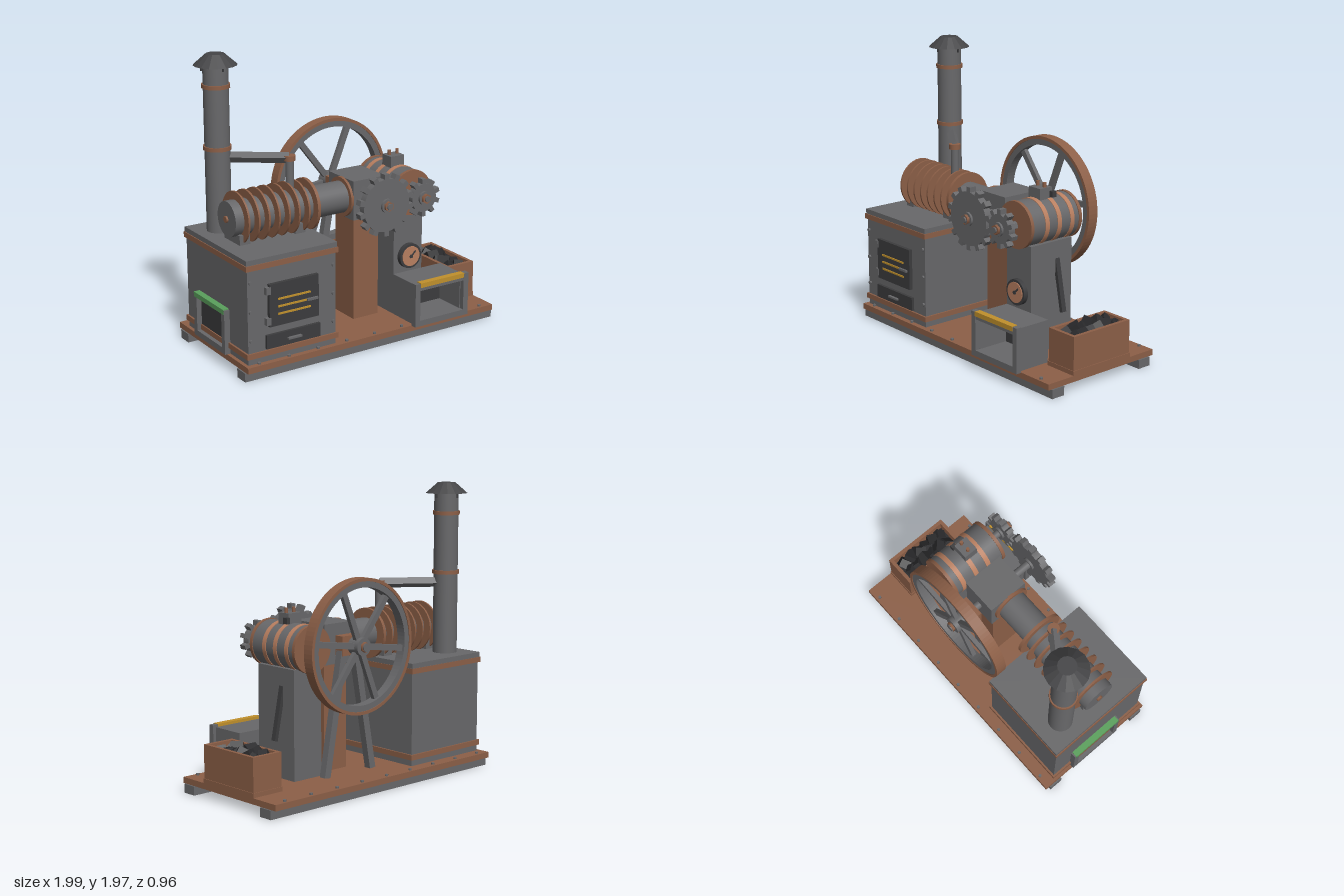
import * as THREE from 'three';

const mat = (name, color, flat = false) => {
  const m = new THREE.MeshStandardMaterial({ color, flatShading: flat });
  m.name = name;
  return m;
};

export function createModel() {
  const root = new THREE.Group();
  const iron = mat('iron grey', 0x68686a);
  const dark = mat('dark iron', 0x3c3c3e);
  const copper = mat('brown copper', 0x8c5f47);
  const bright = mat('bright copper', 0xb97f60);
  const gold = mat('gold', 0xc0902c);
  const green = mat('green', 0x5aa05c);
  const coalMat = mat('coal', 0x2b2b2d);

  const add = (name, geo, m, x = 0, y = 0, z = 0) => {
    const mesh = new THREE.Mesh(geo, m);
    mesh.name = name;
    mesh.position.set(x, y, z);
    root.add(mesh);
    return mesh;
  };
  // box given by its limits
  const box = (name, m, x0, x1, y0, y1, z0, z1) =>
    add(name, new THREE.BoxGeometry(x1 - x0, y1 - y0, z1 - z0), m, (x0 + x1) / 2, (y0 + y1) / 2, (z0 + z1) / 2);
  // cylinder along an axis
  const cyl = (name, m, axis, r, len, x, y, z, seg = 32, rTop = r) => {
    const g = new THREE.CylinderGeometry(rTop, r, len, seg);
    if (axis === 'x') g.rotateZ(-Math.PI / 2);
    if (axis === 'z') g.rotateX(Math.PI / 2);
    return add(name, g, m, x, y, z);
  };
  // square bar between two points
  const bar = (name, m, a, b, w, d) => {
    const p = new THREE.Vector3(...a), q = new THREE.Vector3(...b);
    const mesh = add(name, new THREE.BoxGeometry(w, p.distanceTo(q), d), m);
    mesh.position.copy(p).add(q).multiplyScalar(0.5);
    mesh.quaternion.setFromUnitVectors(new THREE.Vector3(0, 1, 0), q.sub(p).normalize());
    return mesh;
  };
  // flat ring along z
  const ring = (name, m, r0, r1, depth, x, y, z) => {
    const s = new THREE.Shape().absarc(0, 0, r1, 0, Math.PI * 2);
    s.holes.push(new THREE.Path().absarc(0, 0, r0, 0, Math.PI * 2, true));
    const g = new THREE.ExtrudeGeometry(s, { depth, bevelEnabled: false, curveSegments: 48 });
    return add(name, g.translate(0, 0, -depth / 2), m, x, y, z);
  };

  // Base
  box('basePlate', copper, -0.98, 0.98, 0.06, 0.1, -0.485, 0.433);
  for (const z of [-0.4, 0.36]) box('skid', iron, -0.99, 0.99, 0, 0.06, z - 0.05, z + 0.05);
  for (let i = 0; i < 9; i++)
    for (const z of [-0.458, 0.407]) cyl('baseRivet', iron, 'y', 0.011, 0.014, -0.884 + i * 0.221, 0.105, z, 8);

  // Firebox
  box('firebox', iron, -0.955, -0.3, 0.1, 0.77, -0.395, 0.395);
  box('fireboxTop', iron, -0.962, -0.292, 0.765, 0.8, -0.405, 0.402);
  for (const y of [0.16, 0.748]) box('fireboxBand', copper, -0.968, -0.288, y - 0.018, y + 0.018, -0.408, 0.408);
  for (const x of [-0.935, -0.32])
    for (const y of [0.26, 0.455, 0.65]) cyl('fireboxRivet', iron, 'z', 0.012, 0.016, x, y, 0.4, 8);
  box('fireDoor', dark, -0.81, -0.445, 0.335, 0.62, 0.39, 0.42);
  for (const y of [0.415, 0.465, 0.515]) box('doorSlot', gold, -0.75, -0.51, y - 0.006, y + 0.006, 0.42, 0.427);
  for (const y of [0.375, 0.58]) box('doorHinge', iron, -0.835, -0.8, y - 0.024, y + 0.024, 0.39, 0.425);
  box('doorHandle', iron, -0.54, -0.46, 0.46, 0.475, 0.425, 0.44);
  box('ashDrawer', dark, -0.83, -0.43, 0.188, 0.28, 0.39, 0.415);
  box('drawerHandle', iron, -0.68, -0.58, 0.226, 0.238, 0.415, 0.435);

  // Side hatch
  const hz0 = -0.245, hz1 = 0.165;
  for (const z of [hz0, hz1 - 0.04]) box('hatchPost', iron, -0.995, -0.95, 0.1, 0.4, z, z + 0.04);
  box('hatchSill', iron, -0.995, -0.95, 0.1, 0.14, hz0, hz1);
  box('hatchLintel', iron, -0.99, -0.95, 0.37, 0.4, hz0, hz1);
  box('hatchStrip', green, -0.998, -0.955, 0.373, 0.406, hz0 + 0.01, hz1 - 0.01);
  box('hatchOpening', dark, -0.96, -0.953, 0.14, 0.37, hz0 + 0.04, hz1 - 0.04);

  // Chimney
  cyl('chimney', iron, 'y', 0.083, 1.1, -0.8, 1.35, -0.225);
  for (const y of [1.36, 1.765]) cyl('chimneyBand', copper, 'y', 0.092, 0.026, -0.8, y, -0.225);
  cyl('chimneyCap', mat('cap iron', 0x454547, true), 'y', 0.142, 0.072, -0.8, 1.935, -0.225, 16, 0.06);
  for (let i = 0; i < 4; i++) {
    const a = i * Math.PI / 2;
    cyl('capStay', dark, 'y', 0.007, 0.04, -0.8 + 0.1 * Math.cos(a), 1.89, -0.225 + 0.1 * Math.sin(a), 8);
  }

  // Ribbed cylinder lying on saddles
  const cy = 0.957, cz = 0.03;
  cyl('cylinder', iron, 'x', 0.118, 0.6, -0.585, cy, cz);
  cyl('cylinderNeck', iron, 'x', 0.108, 0.32, -0.15, cy, cz);
  cyl('endStub', copper, 'x', 0.022, 0.02, -0.888, cy, cz, 12);
  for (let i = 0; i < 8; i++) cyl('coolingRib', copper, 'x', 0.173, i === 7 ? 0.022 : 0.013, -0.817 + i * 0.0745, cy, cz);
  cyl('neckFlange', copper, 'x', 0.135, 0.022, -0.012, cy, cz);
  for (const x of [-0.812, -0.398]) box('saddle', iron, x - 0.038, x + 0.038, 0.8, 0.865, cz - 0.1, cz + 0.1);

  // Exhaust pipe
  bar('exhaustBeam', iron, [-0.76, 1.29, -0.21], [-0.42, 1.29, 0.035], 0.05, 0.05);
  cyl('exhaustRiser', iron, 'y', 0.028, 0.26, -0.418, 1.16, 0.037, 16);
  cyl('exhaustCollar', copper, 'y', 0.04, 0.034, -0.418, 1.29, 0.037, 16);

  // Crank housing and supports
  const fx = 0.122;
  box('crankHousing', iron, -0.005, 0.25, 0.82, 1.09, -0.135, 0.16);
  box('mainPost', copper, 0.025, 0.225, 0.1, 0.83, -0.1, 0.12);
  box('bearingBlock', copper, 0.045, 0.198, 0.89, 1.02, -0.25, -0.18);
  for (const s of [-1, 1]) bar('supportLeg', iron, [fx + s * 0.205, 0.1, -0.22], [fx + s * 0.055, 0.92, -0.22], 0.05, 0.05);
  cyl('mainShaft', iron, 'z', 0.028, 0.79, fx, cy, 0.0, 16);

  // Flywheel
  const fz = -0.325;
  ring('flywheelTire', copper, 0.425, 0.446, 0.076, fx, cy, fz);
  ring('flywheelRim', iron, 0.385, 0.427, 0.066, fx, cy, fz);
  cyl('flywheelHub', iron, 'z', 0.06, 0.09, fx, cy, fz, 24);
  for (let i = 0; i < 6; i++) {
    const a = (8 + i * 60) * Math.PI / 180, c = Math.cos(a), s = Math.sin(a);
    bar('flywheelSpoke', iron, [fx + 0.04 * c, cy + 0.04 * s, fz], [fx + 0.39 * c, cy + 0.39 * s, fz], 0.04, 0.03);
  }
  cyl('flywheelNut', copper, 'z', 0.035, 0.02, fx, cy, -0.378, 6);

  // Gears
  const gear = (name, x, r, teeth, tw) => {
    cyl(name, iron, 'z', r, 0.05, x, cy, 0.337, 40);
    for (let i = 0; i < teeth; i++) {
      const a = (i + 0.5) / teeth * Math.PI * 2;
      const t = add(name + 'Tooth', new THREE.BoxGeometry(0.05, tw, 0.05), iron,
        x + (r + 0.007) * Math.cos(a), cy + (r + 0.007) * Math.sin(a), 0.337);
      t.rotation.z = a;
    }
    cyl(name + 'Hub', iron, 'z', 0.047, 0.08, x, cy, 0.337, 20);
    cyl(name + 'Nut', copper, 'z', 0.034, 0.02, x, cy, 0.385, 6);
    cyl(name + 'ShaftEnd', iron, 'z', 0.02, 0.03, x, cy, 0.39, 16);
  };
  gear('largeGear', fx, 0.18, 14, 0.036);
  gear('smallGear', 0.425, 0.097, 10, 0.03);

  // Drum on its column
  const dx = 0.425;
  cyl('drum', iron, 'z', 0.152, 0.4, dx, cy, 0.005, 40);
  for (const z of [-0.2, 0.213]) cyl('drumEnd', copper, 'z', 0.157, 0.024, dx, cy, z, 40);
  for (const z of [-0.13, -0.02, 0.085]) cyl('drumBand', bright, 'z', 0.156, 0.034, dx, cy, z, 40);
  cyl('drumShaft', iron, 'z', 0.026, 0.2, dx, cy, 0.29, 16);
  box('drumTerminal', iron, 0.367, 0.477, 1.08, 1.175, -0.04, 0.06);
  for (const x of [0.393, 0.457]) cyl('terminalPin', copper, 'y', 0.012, 0.035, x, 1.19, 0.005, 10);
  box('terminalPlug', dark, 0.477, 0.505, 1.11, 1.15, -0.055, -0.02);
  box('drumColumn', iron, 0.305, 0.54, 0.1, 0.83, -0.16, 0.19);
  bar('columnLever', dark, [0.53, 0.71, -0.037], [0.6, 0.36, -0.037], 0.025, 0.035);

  // Gauge
  cyl('gaugeCase', dark, 'z', 0.087, 0.035, dx, 0.505, 0.205);
  cyl('gaugeFace', bright, 'z', 0.07, 0.006, dx, 0.505, 0.225);
  bar('gaugeNeedle', dark, [0.415, 0.495, 0.23], [0.46, 0.54, 0.23], 0.01, 0.005);
  cyl('gaugePin', dark, 'z', 0.013, 0.008, dx, 0.505, 0.23, 12);

  // Open output tray
  box('trayFloor', iron, 0.305, 0.705, 0.1, 0.14, 0.19, 0.44);
  box('trayRoof', iron, 0.305, 0.705, 0.36, 0.388, 0.19, 0.44);
  box('trayBack', iron, 0.305, 0.705, 0.13, 0.37, 0.19, 0.21);
  for (const x of [0.305, 0.683]) box('trayWall', iron, x, x + 0.022, 0.13, 0.37, 0.19, 0.44);
  box('trayInside', dark, 0.327, 0.683, 0.14, 0.27, 0.21, 0.218);
  for (const x of [0.285, 0.688]) box('trayFramePost', iron, x, x + 0.04, 0.1, 0.403, 0.435, 0.475);
  box('trayFrameSill', iron, 0.285, 0.728, 0.1, 0.14, 0.435, 0.475);
  box('trayFrameLintel', iron, 0.3, 0.71, 0.352, 0.38, 0.435, 0.472);
  box('trayStrip', gold, 0.325, 0.688, 0.375, 0.407, 0.435, 0.479);

  // Coal box
  box('coalBoxFloor', copper, 0.74, 0.98, 0.1, 0.13, -0.275, 0.222);
  for (const x of [0.745, 0.95]) box('coalBoxSide', copper, x, x + 0.025, 0.13, 0.355, -0.27, 0.218);
  for (const z of [-0.27, 0.193]) box('coalBoxEnd', copper, 0.745, 0.975, 0.13, 0.355, z, z + 0.025);
  box('coalBed', coalMat, 0.77, 0.95, 0.13, 0.28, -0.245, 0.193);
  let seed = 7;
  const rnd = () => (seed = (seed * 16807) % 2147483647) / 2147483647;
  for (let i = 0; i < 12; i++) {
    const s = 0.06 + 0.03 * rnd();
    const lump = add('coalLump', new THREE.BoxGeometry(s, s * 0.8, s), coalMat,
      0.82 + (i % 2) * 0.08, 0.3 + 0.035 * rnd(), -0.19 + Math.floor(i / 2) * 0.066);
    lump.rotation.set(rnd() * 0.9, rnd() * 3, rnd() * 0.9);
  }
  return root;
}
